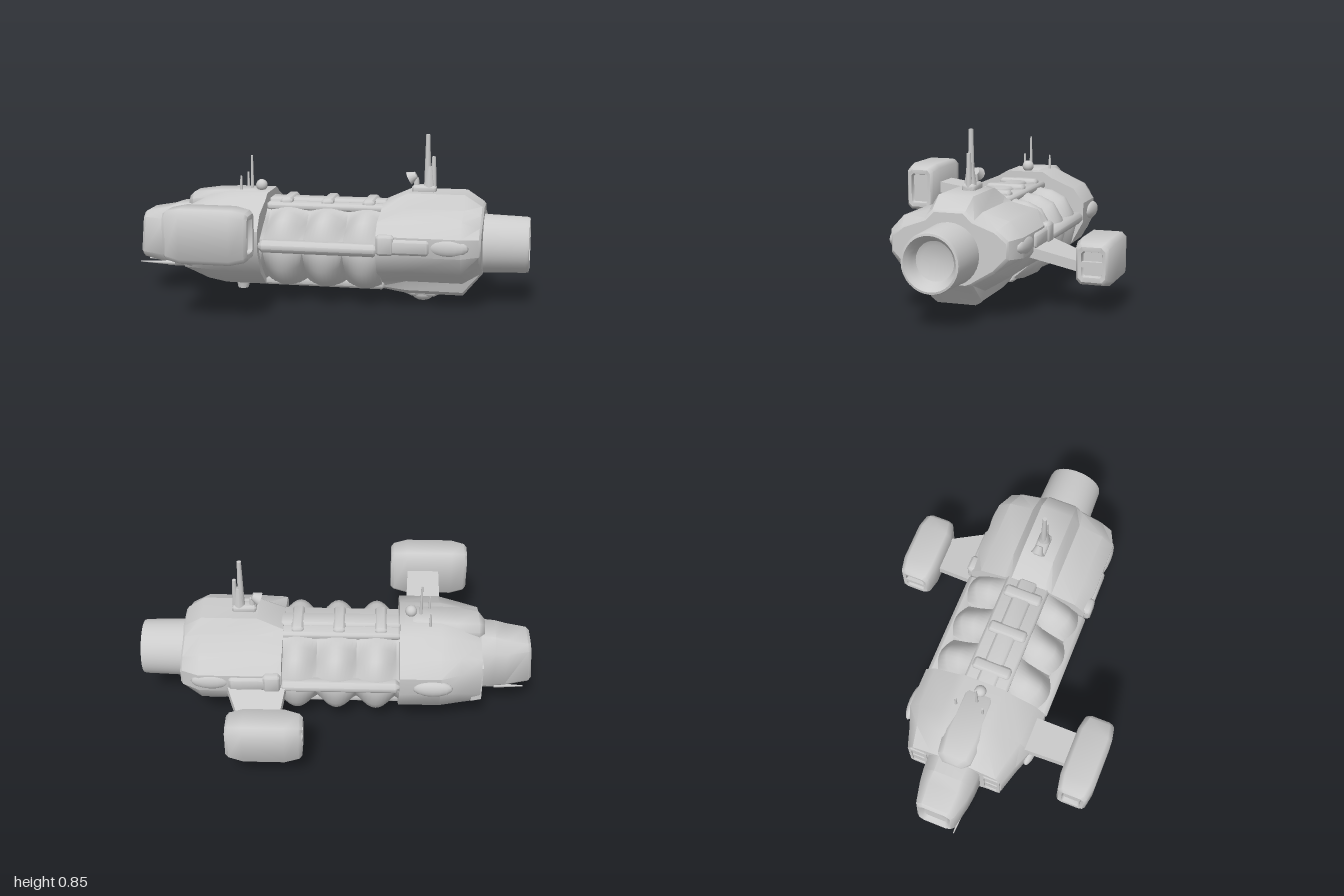
import * as THREE from 'three';
import { toCreasedNormals } from 'three/addons/utils/BufferGeometryUtils.js';

const grey = new THREE.MeshStandardMaterial({ color: 0xcccccc, side: THREE.DoubleSide });

// Loft closed rings [x, [[z, y], ...], slant] along x, with capped ends
function loft(sections, crease = 0.6) {
  const rings = sections.map(([x, pts, slant = 0]) =>
    pts.map(([z, y]) => new THREE.Vector3(x + slant * (y - 0.3), y, z)));
  const tris = [];
  const n = rings[0].length;
  for (let s = 0; s < rings.length - 1; s++) {
    const a = rings[s], b = rings[s + 1];
    for (let i = 0; i < n; i++) {
      const j = (i + 1) % n;
      tris.push(a[i], a[j], b[i], a[j], b[j], b[i]);
    }
  }
  const cap = (ring, flip) => {
    const c = new THREE.Vector3();
    ring.forEach(p => c.addScaledVector(p, 1 / n));
    ring.forEach((p, i) => {
      const q = ring[(i + 1) % n];
      tris.push(...(flip ? [c, q, p] : [c, p, q]));
    });
  };
  cap(rings[0], true);
  cap(rings[rings.length - 1], false);
  return toCreasedNormals(new THREE.BufferGeometry().setFromPoints(tris), crease);
}

// Half outline, top to bottom on the +z side, mirrored into a ring
const mirror = half => [...half, ...half.slice().reverse().map(([z, y]) => [-z, y])];

// Chamfered rectangle ring
const rect = (zc, yc, w, h, c) => [
  [w - c, h], [w, h - c], [w, c - h], [w - c, -h],
  [c - w, -h], [-w, c - h], [-w, h - c], [c - w, h],
].map(([z, y]) => [zc + z, yc + y]);

export function createModel() {
  const root = new THREE.Group();
  const add = (name, geo, x = 0, y = 0, z = 0, parent = root) => {
    const m = new THREE.Mesh(geo, grey);
    m.name = name;
    m.position.set(x, y, z);
    parent.add(m);
    return m;
  };
  // Chamfered block between two corners
  const block = (name, x0, x1, y0, y1, z0, z1, c = 0.012) => {
    const zc = (z0 + z1) / 2, yc = (y0 + y1) / 2, w = (z1 - z0) / 2, h = (y1 - y0) / 2;
    const small = rect(zc, yc, w - c * 0.8, h - c * 0.8, c * 0.5), full = rect(zc, yc, w, h, c);
    add(name, loft([[x0, small], [x0 + c, full], [x1 - c, full], [x1, small]], 0.9));
  };

  // Rear engine module
  const rearFull = mirror([[0.085, 0.565], [0.13, 0.495], [0.26, 0.46], [0.325, 0.39], [0.325, 0.295],
    [0.265, 0.205], [0.14, 0.13], [0.125, 0.08], [0.095, 0.058]]);
  add('rearModule', loft([
    [0.27, mirror([[0.09, 0.505], [0.13, 0.48], [0.26, 0.45], [0.315, 0.39], [0.315, 0.295],
      [0.265, 0.2], [0.145, 0.125], [0.125, 0.095], [0.1, 0.08]])],
    [0.4, rearFull], [0.68, rearFull],
    [0.765, mirror([[0.08, 0.51], [0.12, 0.47], [0.23, 0.43], [0.285, 0.385], [0.285, 0.3],
      [0.22, 0.235], [0.13, 0.18], [0.115, 0.17], [0.09, 0.16]])],
    [0.775, mirror([[0.07, 0.5], [0.11, 0.46], [0.22, 0.42], [0.275, 0.375], [0.275, 0.31],
      [0.21, 0.245], [0.12, 0.19], [0.105, 0.18], [0.08, 0.17]])],
  ]));

  // Engine nozzle: tapered shell with a thick rounded lip and a shallow floor
  const bell = [[0.148, 0], [0.146, 0.03], [0.14, 0.215], [0.136, 0.23], [0.126, 0.232], [0.112, 0.215],
    [0.1, 0.19], [0.092, 0.165], [0.07, 0.155], [0, 0.15]].map(p => new THREE.Vector2(...p));
  const nozzle = add('engineNozzle', toCreasedNormals(new THREE.LatheGeometry(bell, 32), 0.8), 0.768, 0.31, 0);
  nozzle.rotation.z = -Math.PI / 2;

  // Middle hull: flanks swell into three rows of pillow-shaped tanks
  const valley = [[0.09, 0.485], [0.115, 0.45], [0.15, 0.41], [0.2, 0.375], [0.265, 0.34], [0.28, 0.285],
    [0.235, 0.22], [0.19, 0.175], [0.145, 0.125], [0.11, 0.085]];
  const swell = [[0.09, 0.485], [0.125, 0.478], [0.185, 0.472], [0.255, 0.44], [0.3, 0.36], [0.31, 0.275],
    [0.29, 0.19], [0.24, 0.125], [0.17, 0.09], [0.11, 0.085]];
  const middle = [];
  for (let x = -0.34; x < 0.3; x += 0.02) {
    const t = Math.abs(Math.cos(Math.PI * x / 0.2));
    middle.push([x, mirror(valley.map(([z, y], i) =>
      [z + (swell[i][0] - z) * t, y + (swell[i][1] - y) * t]))]);
  }
  add('tankHull', loft(middle, 0.75));
  block('spinePlate', -0.32, 0.29, 0.46, 0.5, -0.115, 0.115);
  block('spine', -0.32, 0.29, 0.46, 0.515, -0.05, 0.05);
  block('keel', -0.33, 0.29, 0.08, 0.13, -0.145, 0.145);
  for (const x of [-0.22, -0.01, 0.2]) block('spineClamp', x - 0.03, x + 0.03, 0.46, 0.522, -0.1, 0.1);

  for (const side of [1, -1]) {
    const band = (name, x0, x1, y0, y1, z0, z1, c) =>
      block(name, x0, x1, y0, y1, Math.min(side * z0, side * z1), Math.max(side * z0, side * z1), c);
    band('sideRail', -0.315, 0.28, 0.285, 0.345, 0.25, 0.328, 0.02);
    // Rear module panels and blisters
    band('rearSidePanel', 0.3, 0.53, 0.305, 0.38, 0.3, 0.338);
    band('rearFrontRib', 0.275, 0.36, 0.3, 0.4, 0.28, 0.345);
    const rearBlister = add('rearBlister', new THREE.SphereGeometry(1, 16, 10), 0.62, 0.345, side * 0.31);
    rearBlister.scale.set(0.1, 0.045, 0.028);
    const frontBlister = add('frontBlister', new THREE.SphereGeometry(1, 16, 10), -0.48, 0.33, side * 0.32);
    frontBlister.scale.set(0.1, 0.045, 0.03);
    // Intake frame on the front face of the forward module
    const zc = side * 0.195, yc = 0.3;
    add('intake', loft([
      [-0.69, rect(zc, yc, 0.03, 0.08, 0.008)], [-0.732, rect(zc, yc, 0.035, 0.085, 0.008)],
      [-0.732, rect(zc, yc, 0.048, 0.11, 0.012)], [-0.68, rect(zc, yc, 0.052, 0.12, 0.012)]]));
    block('intakeBar', -0.73, -0.69, 0.285, 0.31, zc - 0.035, zc + 0.035, 0.005);
  }

  // Forward module
  const foreFull = mirror([[0.1, 0.545], [0.15, 0.515], [0.27, 0.465], [0.325, 0.39], [0.325, 0.29],
    [0.26, 0.17], [0.15, 0.085], [0.1, 0.075]]);
  add('forwardModule', loft([
    [-0.725, mirror([[0.08, 0.47], [0.12, 0.46], [0.22, 0.435], [0.25, 0.39], [0.25, 0.24],
      [0.21, 0.17], [0.13, 0.14], [0.09, 0.135]])],
    [-0.62, mirror([[0.09, 0.525], [0.14, 0.5], [0.24, 0.455], [0.285, 0.39], [0.285, 0.27],
      [0.235, 0.17], [0.14, 0.1], [0.1, 0.09]])],
    [-0.52, foreFull], [-0.315, foreFull],
  ]));
  add('dorsalHump', loft([
    [-0.745, rect(0, 0.46, 0.05, 0.045, 0.025)], [-0.715, rect(0, 0.47, 0.085, 0.06, 0.03)],
    [-0.6, rect(0, 0.485, 0.1, 0.06, 0.03)], [-0.4, rect(0, 0.495, 0.085, 0.058, 0.025)],
    [-0.34, rect(0, 0.48, 0.07, 0.05, 0.02)]], 0.9));

  // Nose with a recessed, slightly raked front window
  add('nose', loft([
    [-0.965, rect(0, 0.3, 0.06, 0.08, 0.015), 0.08], [-0.98, rect(0, 0.305, 0.07, 0.095, 0.02), 0.08],
    [-0.99, rect(0, 0.305, 0.085, 0.11, 0.025), 0.08], [-0.975, rect(0, 0.305, 0.1, 0.122, 0.03), 0.08],
    [-0.86, rect(0, 0.3, 0.125, 0.145, 0.05)], [-0.8, rect(0, 0.305, 0.132, 0.16, 0.06)],
    [-0.68, rect(0, 0.305, 0.135, 0.17, 0.06)]], 0.8));
  block('chin', -0.88, -0.7, 0.138, 0.19, -0.09, 0.09, 0.02);
  for (const [z, len] of [[-0.085, 0.15], [0.02, 0.17], [0.1, 0.19]]) {
    const prong = add('noseProng', new THREE.CylinderGeometry(0.003, 0.013, len, 8), -0.81 - len / 2, 0.16, z);
    prong.rotation.z = Math.PI / 2;
  }

  // Outrigger pods with recessed end windows
  function pod(name, x0, x1, yc, zc, w, h, bars) {
    const g = new THREE.Group();
    g.name = name;
    root.add(g);
    const r = (dw, dh, c) => rect(zc, yc, w - dw, h - dh, c);
    const e = 0.085;
    add('podShell', loft([
      [x0 + 0.025, r(0.046, 0.055, 0.008)], [x0 + 0.003, r(0.04, 0.05, 0.01)],
      [x0, r(0.024, 0.028, 0.02)], [x0 + 0.015, r(0.013, 0.014, 0.022)],
      [x0 + e, r(0, 0, 0.023)], [x1 - e, r(0, 0, 0.023)],
      [x1 - 0.015, r(0.013, 0.014, 0.022)], [x1, r(0.024, 0.028, 0.02)],
      [x1 - 0.003, r(0.04, 0.05, 0.01)], [x1 - 0.025, r(0.046, 0.055, 0.008)]], 0.85), 0, 0, 0, g);
    if (bars) for (const x of [x0 + 0.016, x1 - 0.016])
      add('windowBar', new THREE.BoxGeometry(0.03, 0.026, 2 * w - 0.07), x, yc, zc, g);
  }
  pod('frontPod', -0.685, -0.275, 0.428, 0.597, 0.088, 0.13, false);
  pod('rearPod', 0.15, 0.52, 0.25, -0.598, 0.09, 0.11, true);

  // Arms: tapered slabs from the hull to the pod
  const arm = (name, [xa, xb, ya, za], [xc, xd, yb, zb], t) => {
    const g = new THREE.BoxGeometry(1, 1, 1);
    const p = g.attributes.position;
    for (let i = 0; i < p.count; i++) {
      const hull = p.getZ(i) * Math.sign(zb) < 0;
      const lo = p.getX(i) < 0;
      p.setXYZ(i, hull ? (lo ? xa : xb) : (lo ? xc : xd),
        (hull ? ya : yb) + p.getY(i) * t, hull ? za : zb);
    }
    g.computeVertexNormals();
    add(name, g);
  };
  arm('frontArm', [-0.53, -0.355, 0.395, 0.28], [-0.53, -0.365, 0.43, 0.53], 0.06);
  arm('rearArm', [0.245, 0.555, 0.305, -0.28], [0.28, 0.455, 0.222, -0.53], 0.05);

  // Rear mast cluster and small dish
  block('mastBase', 0.41, 0.53, 0.55, 0.595, -0.032, 0.032, 0.01);
  const mast = (name, x, z, y0, y1, r0, r1) =>
    add(name, new THREE.CylinderGeometry(r1, r0, y1 - y0, 10), x, (y0 + y1) / 2, z);
  mast('mastFoot', 0.495, 0, 0.58, 0.69, 0.032, 0.015);
  mast('mainMast', 0.485, 0, 0.58, 0.85, 0.018, 0.011);
  mast('shortMast', 0.515, 0, 0.58, 0.74, 0.016, 0.01);
  mast('dishPost', 0.43, 0, 0.58, 0.63, 0.016, 0.012);
  const dish = add('dish', new THREE.CylinderGeometry(0.018, 0.034, 0.04, 14), 0.41, 0.635, 0);
  dish.rotation.z = -1.1;

  // Forward antennas and sensor ball
  mast('tallAntenna', -0.42, 0, 0.54, 0.72, 0.009, 0.005);
  mast('leftAntenna', -0.465, 0.05, 0.51, 0.62, 0.009, 0.005);
  mast('rightAntenna', -0.465, -0.092, 0.5, 0.62, 0.009, 0.005);
  add('sensorBall', new THREE.SphereGeometry(0.03, 16, 12), -0.37, 0.568, 0);

  // Belly turrets
  mast('frontTurretBase', -0.47, 0, 0.05, 0.1, 0.042, 0.055);
  mast('frontTurret', -0.475, 0, 0.022, 0.07, 0.028, 0.036);
  add('rearTurret', loft([
    [0.36, rect(0, 0.07, 0.06, 0.012, 0.008)], [0.42, rect(0, 0.053, 0.06, 0.022, 0.015)],
    [0.53, rect(0, 0.053, 0.06, 0.022, 0.015)], [0.58, rect(0, 0.07, 0.06, 0.012, 0.008)]], 0.9));
  const dome = add('rearTurretDome', new THREE.SphereGeometry(1, 20, 12), 0.47, 0.045, 0);
  dome.scale.set(0.06, 0.043, 0.058);

  return root;
}
